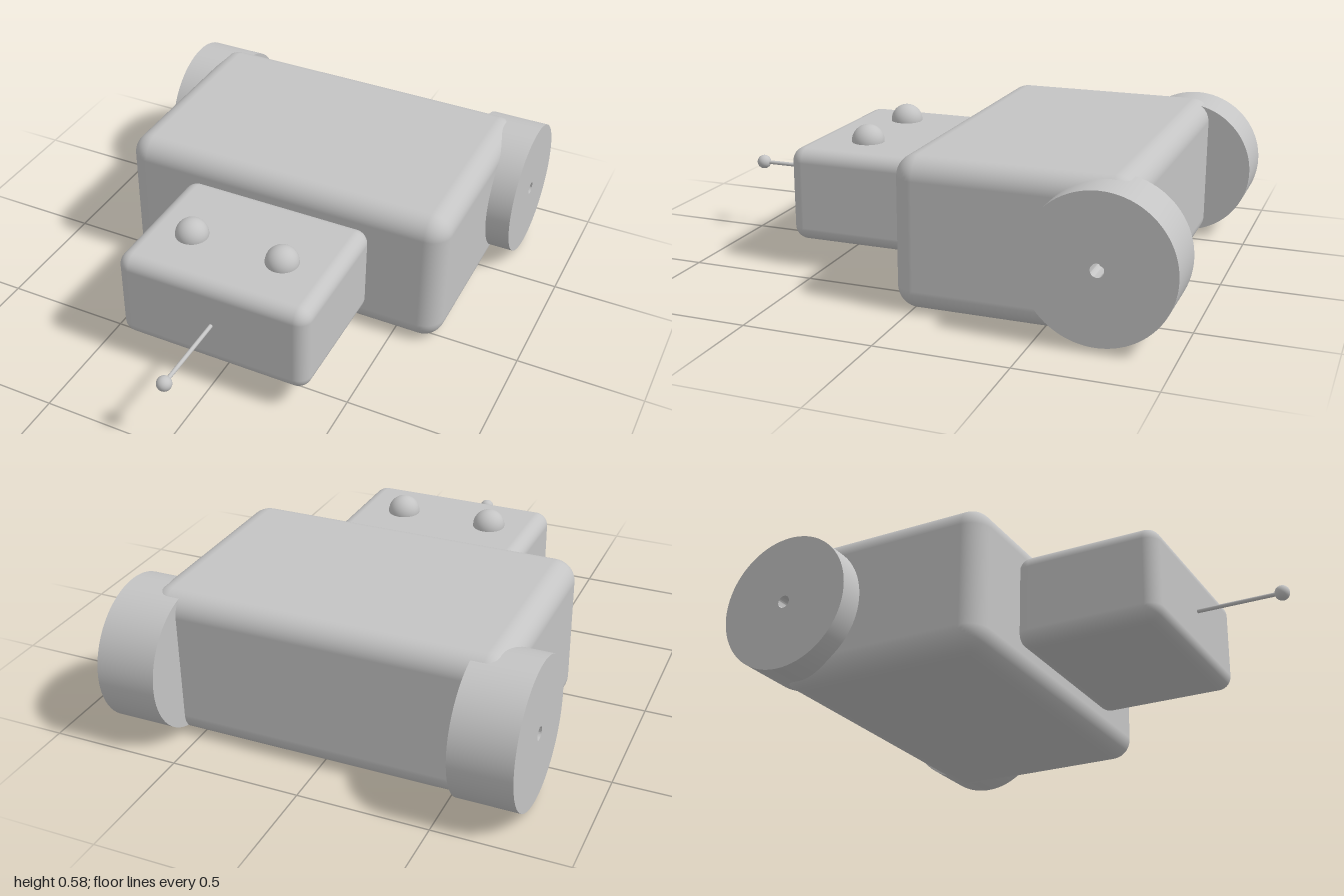
import * as THREE from 'three';
import { RoundedBoxGeometry } from 'three/addons/geometries/RoundedBoxGeometry.js';
import { toCreasedNormals } from 'three/addons/utils/BufferGeometryUtils.js';

export function createModel() {
  const model = new THREE.Group();
  model.name = 'robot';
  const grey = new THREE.MeshStandardMaterial({ color: 0xc4c4c4 });
  grey.name = 'light grey';

  function add(name, geometry, x, y, z) {
    const mesh = new THREE.Mesh(geometry, grey);
    mesh.name = name;
    mesh.position.set(x, y, z);
    model.add(mesh);
    return mesh;
  }

  // Body and head: softly rounded blocks
  add('body', new RoundedBoxGeometry(1.374, 0.58, 0.89, 6, 0.085), 0, 0.29, -0.375);
  add('head', new RoundedBoxGeometry(0.79, 0.375, 0.58, 6, 0.055), -0.005, 0.293, 0.345);

  // Eyes, half sunk into the top of the head
  const eye = new THREE.SphereGeometry(0.065, 32, 20);
  add('rightEye', eye, -0.205, 0.484, 0.392);
  add('leftEye', eye, 0.175, 0.484, 0.392);

  // Probe with a ball tip
  const rod = new THREE.CylinderGeometry(0.008, 0.008, 0.39, 16).rotateX(Math.PI / 2);
  add('probeRod', rod, 0.002, 0.294, 0.775);
  add('probeTip', new THREE.SphereGeometry(0.029, 24, 16), 0.002, 0.294, 0.971);

  // Wheels: thick discs with an axle hole
  const disc = new THREE.Shape().absarc(0, 0, 0.275, 0, Math.PI * 2);
  disc.holes.push(new THREE.Path().absarc(0, 0, 0.025, 0, Math.PI * 2, true));
  const width = 0.232;
  const wheel = toCreasedNormals(
    new THREE.ExtrudeGeometry(disc, { depth: width, bevelEnabled: false, curveSegments: 40 })
      .translate(0, 0, -width / 2).rotateY(Math.PI / 2), 0.6);
  for (const side of [-1, 1]) {
    add(side < 0 ? 'rightWheel' : 'leftWheel', wheel, side * 0.671, 0.294, -0.725);
  }

  return model;
}
